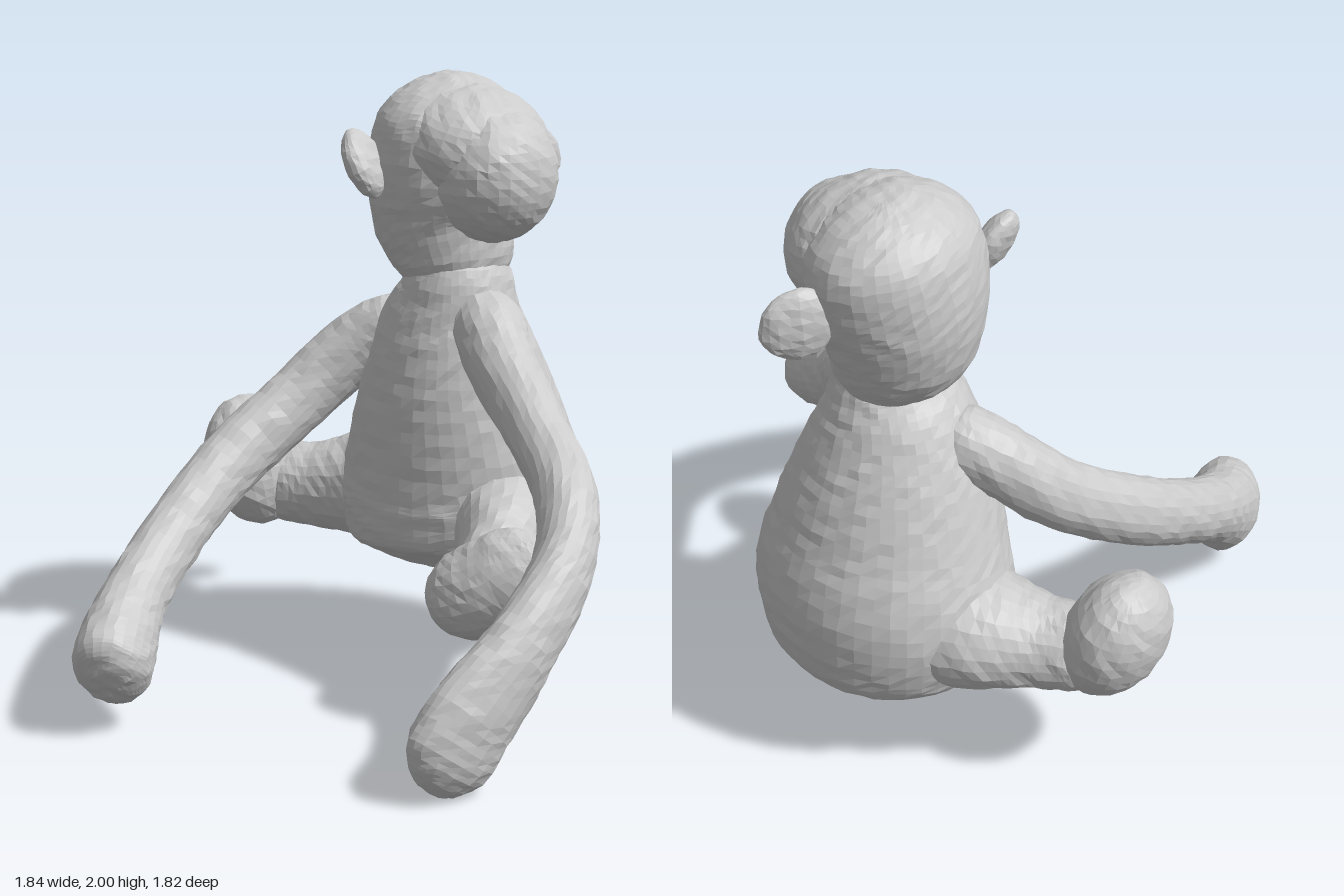
import * as THREE from 'three';

const material = new THREE.MeshStandardMaterial({ color: 0xcccccc, flatShading: true });
const UP = new THREE.Vector3(0, 1, 0), FRONT = new THREE.Vector3(0, 0, 1);

// gentle ripple in -1..1 that varies smoothly over space
const ripple = (x, y, z) => Math.sin(71 * x + 43 * y) * Math.sin(67 * y - 39 * z) + 0.5 * Math.sin(83 * z + 57 * x);

// slightly crumpled cloth surface
function crumple(geometry, amount) {
  const p = geometry.attributes.position;
  for (let i = 0; i < p.count; i++) {
    const x = p.getX(i), y = p.getY(i), z = p.getZ(i);
    p.setXYZ(i, x + amount * ripple(x, y, z), y + amount * ripple(y, z, x), z + amount * ripple(z, x, y));
  }
  geometry.computeVertexNormals();
  return geometry;
}

// round-ended body through sections [x, y, z, radius across, radius along ref]
function loft(name, sections, { ref = UP, rings = 44, sides = 28, cap = 0.12 } = {}) {
  const curve = (f) => new THREE.CatmullRomCurve3(sections.map(f), false, 'catmullrom', 0.5);
  const path = curve((s) => new THREE.Vector3(s[0], s[1], s[2]));
  const radii = curve((s) => new THREE.Vector3(s[3], s[4], 0));
  const positions = [], index = [];
  for (let j = 0; j <= rings; j++) {
    const s = (1 - Math.cos(Math.PI * j / rings)) / 2;
    const c = path.getPoint(s), t = path.getTangent(s), r = radii.getPoint(s);
    const a = new THREE.Vector3().crossVectors(ref, t).normalize();
    const b = new THREE.Vector3().crossVectors(t, a);
    const d = Math.max(0, 1 - Math.min(s, 1 - s) / cap);
    const k = Math.sqrt(Math.max(0, 1 - d * d));
    for (let i = 0; i < sides; i++) {
      const q = 2 * Math.PI * i / sides;
      const v = c.clone().addScaledVector(a, r.x * k * Math.cos(q)).addScaledVector(b, r.y * k * Math.sin(q));
      positions.push(v.x, v.y, v.z);
      if (j < rings) {
        const i2 = (i + 1) % sides, o = j * sides;
        index.push(o + i, o + i2, o + sides + i2, o + i, o + sides + i2, o + sides + i);
      }
    }
  }
  const g = new THREE.BufferGeometry();
  g.setAttribute('position', new THREE.Float32BufferAttribute(positions, 3));
  g.setIndex(index);
  const mesh = new THREE.Mesh(crumple(g, 0.003), material);
  mesh.name = name;
  return mesh;
}

function ellipsoid(name, centre, size, rotation = [0, 0, 0], detail = 28) {
  const g = new THREE.SphereGeometry(1, detail, Math.round(detail * 0.7)).scale(...size);
  const mesh = new THREE.Mesh(crumple(g, 0.003), material);
  mesh.name = name;
  mesh.position.set(...centre);
  mesh.rotation.set(...rotation);
  return mesh;
}

export function createModel() {
  const model = new THREE.Group();
  model.name = 'sittingMonkey';

  // pear-shaped torso with a heavy, rounded seat, running up into the neck
  model.add(loft('torso', [
    [0.02, 0.30, -0.48, 0.32, 0.30],
    [0.01, 0.42, -0.50, 0.41, 0.365],
    [0.00, 0.60, -0.51, 0.435, 0.38],
    [0.00, 0.80, -0.48, 0.385, 0.345],
    [0.00, 1.00, -0.45, 0.32, 0.30],
    [0.01, 1.17, -0.43, 0.255, 0.245],
    [0.035, 1.32, -0.42, 0.18, 0.195],
    [0.03, 1.48, -0.43, 0.16, 0.18],
  ], { ref: FRONT, rings: 60, sides: 48, cap: 0.15 }));

  // head turned towards the model's left, with a big round muzzle
  const head = new THREE.Group();
  head.name = 'head';
  head.add(loft('skull', [
    [0.03, 1.24, -0.42, 0.14, 0.17],
    [0.01, 1.38, -0.43, 0.19, 0.205],
    [-0.03, 1.52, -0.44, 0.24, 0.25],
    [-0.03, 1.67, -0.45, 0.26, 0.285],
    [-0.02, 1.83, -0.47, 0.245, 0.285],
    [0.00, 2.00, -0.48, 0.21, 0.24],
  ], { ref: FRONT, rings: 48, sides: 40, cap: 0.22 }));
  head.add(ellipsoid('muzzle', [0.185, 1.69, -0.40], [0.205, 0.22, 0.215], [0, 0, 0], 36));
  head.add(ellipsoid('brow', [0.08, 1.77, -0.435], [0.25, 0.2, 0.265], [0, 0, -0.25], 36));
  head.add(ellipsoid('rightEar', [-0.16, 1.725, -0.16], [0.05, 0.12, 0.095], [0, 0.15, 0.45], 20));
  head.add(ellipsoid('leftEar', [0.06, 1.68, -0.79], [0.045, 0.12, 0.12], [0, -0.55, 0], 20));
  model.add(head);

  // long arms reaching forward, ending in mitten hands
  model.add(loft('rightArm', [
    [-0.12, 1.19, -0.42, 0.11, 0.11],
    [-0.30, 1.08, -0.33, 0.11, 0.115],
    [-0.44, 0.90, -0.17, 0.10, 0.115],
    [-0.53, 0.72, 0.08, 0.10, 0.115],
    [-0.545, 0.55, 0.34, 0.10, 0.11],
    [-0.51, 0.38, 0.60, 0.105, 0.12],
    [-0.45, 0.26, 0.76, 0.125, 0.16],
    [-0.395, 0.17, 0.87, 0.12, 0.165],
  ], { rings: 64, sides: 24, cap: 0.09 }));
  model.add(loft('leftArm', [
    [0.12, 1.29, -0.40, 0.14, 0.13],
    [0.30, 1.09, -0.29, 0.115, 0.12],
    [0.52, 0.92, -0.17, 0.10, 0.105],
    [0.71, 0.78, -0.04, 0.10, 0.11],
    [0.81, 0.61, 0.13, 0.095, 0.115],
    [0.81, 0.42, 0.35, 0.095, 0.13],
    [0.755, 0.23, 0.54, 0.095, 0.16],
    [0.70, 0.035, 0.67, 0.085, 0.15],
  ], { rings: 64, sides: 24, cap: 0.09 }));

  // short, thick, splayed legs with round feet
  model.add(loft('rightLeg', [
    [-0.08, 0.54, -0.52, 0.24, 0.22],
    [-0.34, 0.54, -0.495, 0.225, 0.20],
    [-0.55, 0.52, -0.41, 0.15, 0.15],
    [-0.76, 0.53, -0.33, 0.13, 0.14],
  ], { cap: 0.2 }));
  model.add(ellipsoid('rightFoot', [-0.76, 0.60, -0.31], [0.155, 0.23, 0.195], [0, 0, 0.3]));
  model.add(loft('leftLeg', [
    [0.10, 0.54, -0.48, 0.20, 0.20],
    [0.28, 0.535, -0.34, 0.19, 0.20],
    [0.38, 0.47, -0.16, 0.135, 0.17],
    [0.44, 0.42, 0.04, 0.12, 0.13],
  ], { cap: 0.2 }));
  model.add(loft('leftFoot', [
    [0.30, 0.36, 0.03, 0.13, 0.12],
    [0.42, 0.43, 0.045, 0.15, 0.15],
    [0.56, 0.50, 0.02, 0.13, 0.165],
    [0.695, 0.575, 0.02, 0.09, 0.15],
  ], { rings: 30, cap: 0.3 }));

  return model;
}
